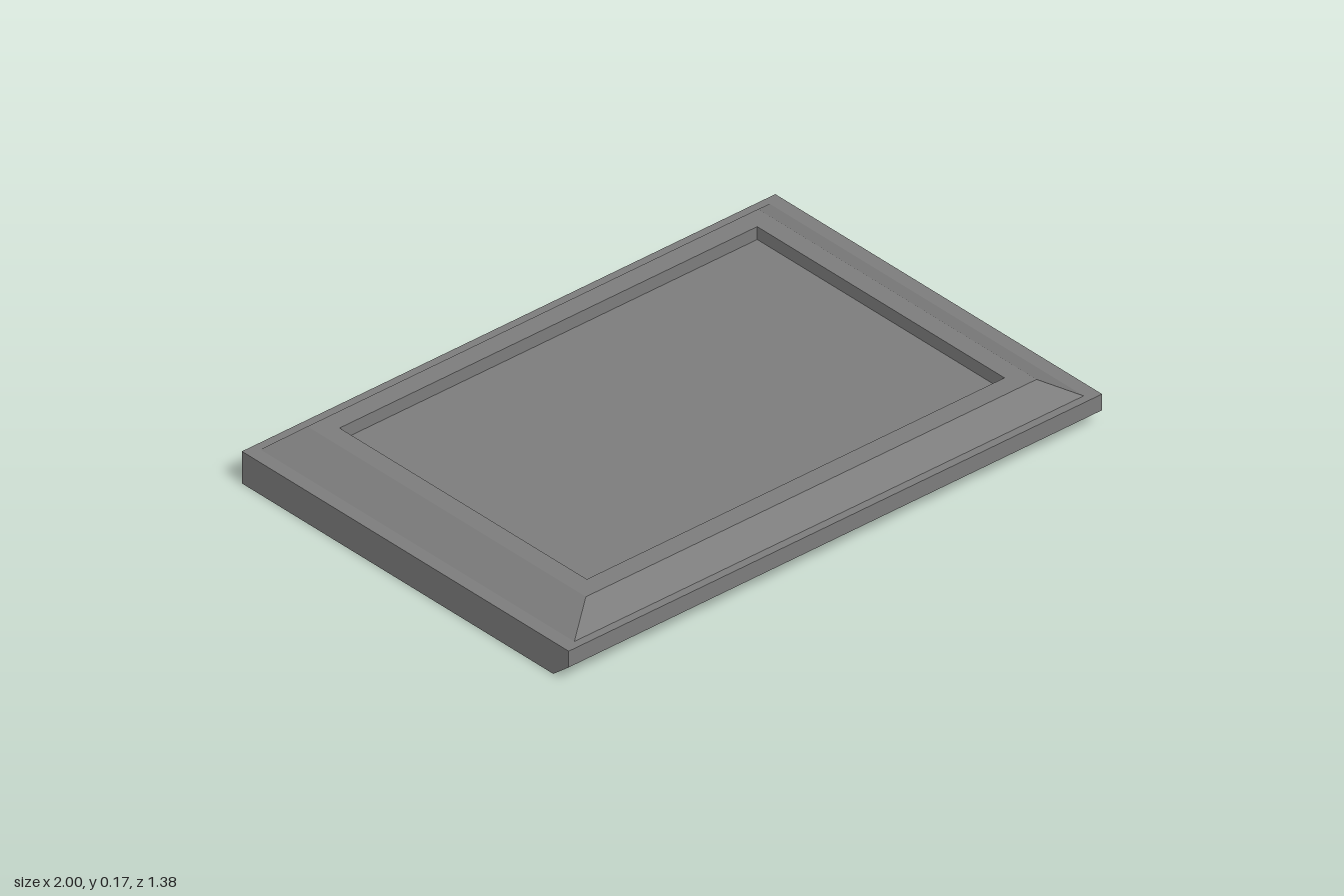
import * as THREE from 'three';

// Closed ring of quads between successive rectangles [halfX, y, halfZ], flat shaded
function rectLoft(rings) {
  const pos = [];
  const corner = ([x, y, z], i) => [[x, y, z], [x, y, -z], [-x, y, -z], [-x, y, z]][i % 4];
  for (let r = 0; r < rings.length - 1; r++) {
    for (let i = 0; i < 4; i++) {
      const a = corner(rings[r], i), b = corner(rings[r], i + 1);
      const c = corner(rings[r + 1], i + 1), d = corner(rings[r + 1], i);
      pos.push(...a, ...b, ...c, ...a, ...c, ...d);
    }
  }
  const geo = new THREE.BufferGeometry();
  geo.setAttribute('position', new THREE.Float32BufferAttribute(pos, 3));
  geo.computeVertexNormals();
  return geo;
}

export function createModel() {
  const group = new THREE.Group();
  group.name = 'framedPanel';
  const grey = new THREE.MeshStandardMaterial({ color: 0x7c7c7c });
  grey.name = 'grey';

  const add = (name, geo) => {
    const mesh = new THREE.Mesh(geo, grey);
    mesh.name = name;
    group.add(mesh);
    return mesh;
  };

  // Base slab: side profile with a chamfer under the front edge, extruded across x
  const profile = new THREE.Shape([
    [-0.69, 0], [0.625, 0], [0.69, 0.053], [0.69, 0.107], [-0.69, 0.107],
  ].map(([z, y]) => new THREE.Vector2(z, y)));
  const slab = new THREE.ExtrudeGeometry(profile, { depth: 2, bevelEnabled: false });
  slab.translate(0, 0, -1).rotateY(-Math.PI / 2);
  add('baseSlab', slab);

  // Raised frame: sloped outside, flat rim, upright walls down into the recess
  const floorY = 0.13;
  add('raisedFrame', rectLoft([
    [0.955, 0.107, 0.663],
    [0.845, 0.173, 0.588],
    [0.783, 0.173, 0.522],
    [0.783, floorY, 0.522],
  ]));

  // Recess floor
  const floor = new THREE.PlaneGeometry(1.566, 1.044).rotateX(-Math.PI / 2);
  add('recessFloor', floor.translate(0, floorY, 0));

  return group;
}
